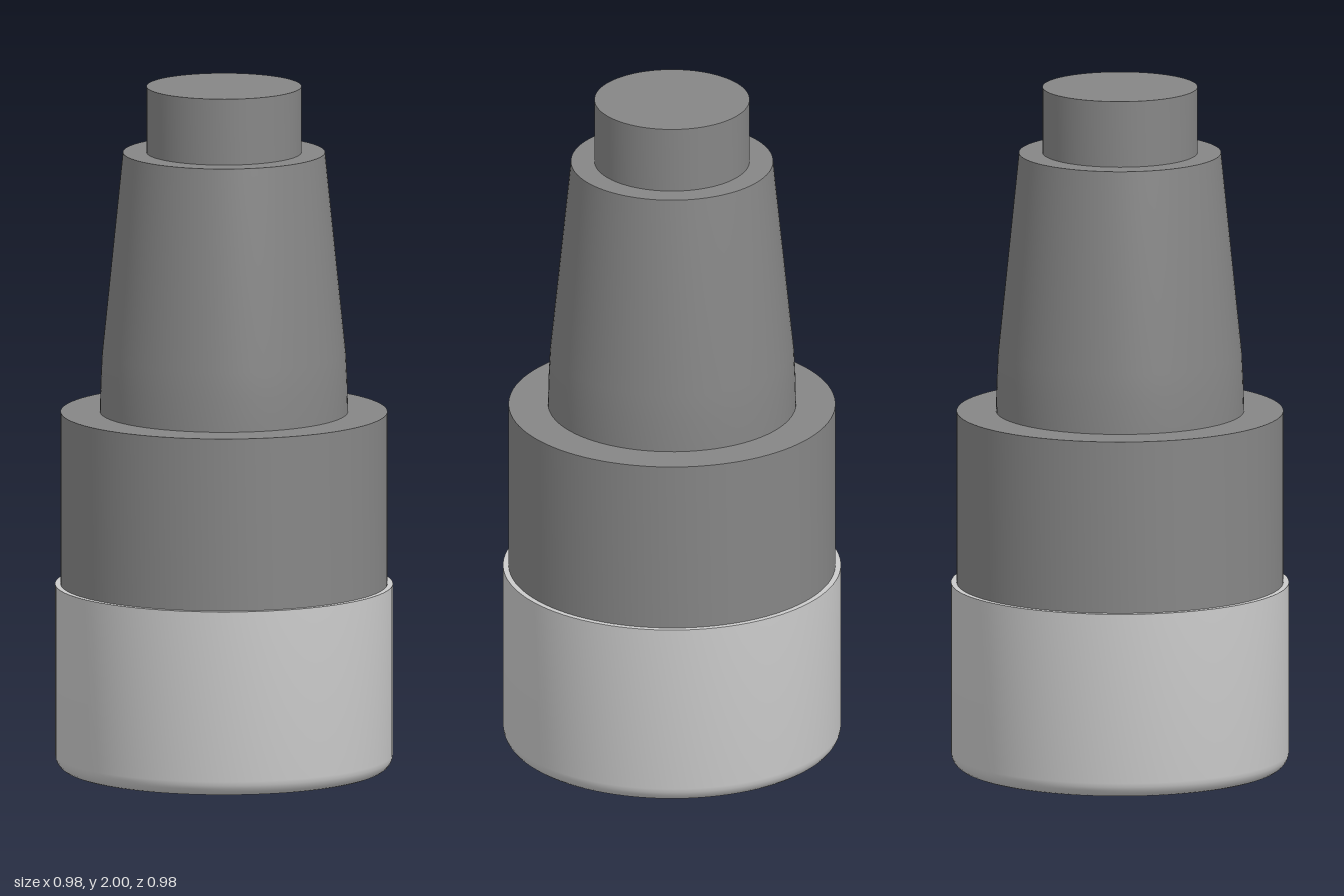
import * as THREE from 'three';
import { toCreasedNormals } from 'three/addons/utils/BufferGeometryUtils.js';

const SEGMENTS = 96;

// Closed turned part from a [radius, height] profile, listed bottom to top
function turned(name, profile, material) {
  const points = profile.map(([r, y]) => new THREE.Vector2(r, y));
  const geometry = toCreasedNormals(new THREE.LatheGeometry(points, SEGMENTS), 0.6);
  const mesh = new THREE.Mesh(geometry, material);
  mesh.name = name;
  return mesh;
}

export function createModel() {
  const light = new THREE.MeshStandardMaterial({ color: 0xcccccc });
  const dark = new THREE.MeshStandardMaterial({ color: 0x868686 });
  const group = new THREE.Group();
  group.name = 'steppedPlug';

  // Light base cap with a rounded bottom edge
  const R = 0.488, fillet = 0.045, steps = 6;
  const base = [[0, 0]];
  for (let i = 0; i <= steps; i++) {
    const a = (i / steps) * Math.PI / 2;
    base.push([R - fillet + fillet * Math.sin(a), fillet - fillet * Math.cos(a)]);
  }
  base.push([R, 0.543], [0, 0.543]);
  group.add(turned('baseCap', base, light));

  // Wide cylindrical body
  group.add(turned('body', [[0, 0.5], [0.472, 0.5], [0.472, 1.047], [0, 1.047]], dark));

  // Neck: nearly straight collar blending into a taper
  group.add(turned('taperedNeck', [
    [0, 1.0], [0.358, 1.0], [0.358, 1.06], [0.356, 1.14], [0.352, 1.22],
    [0.292, 1.807], [0, 1.807],
  ], dark));

  // Small cylindrical tip
  group.add(turned('tip', [[0, 1.75], [0.224, 1.75], [0.224, 2], [0, 2]], dark));

  return group;
}
